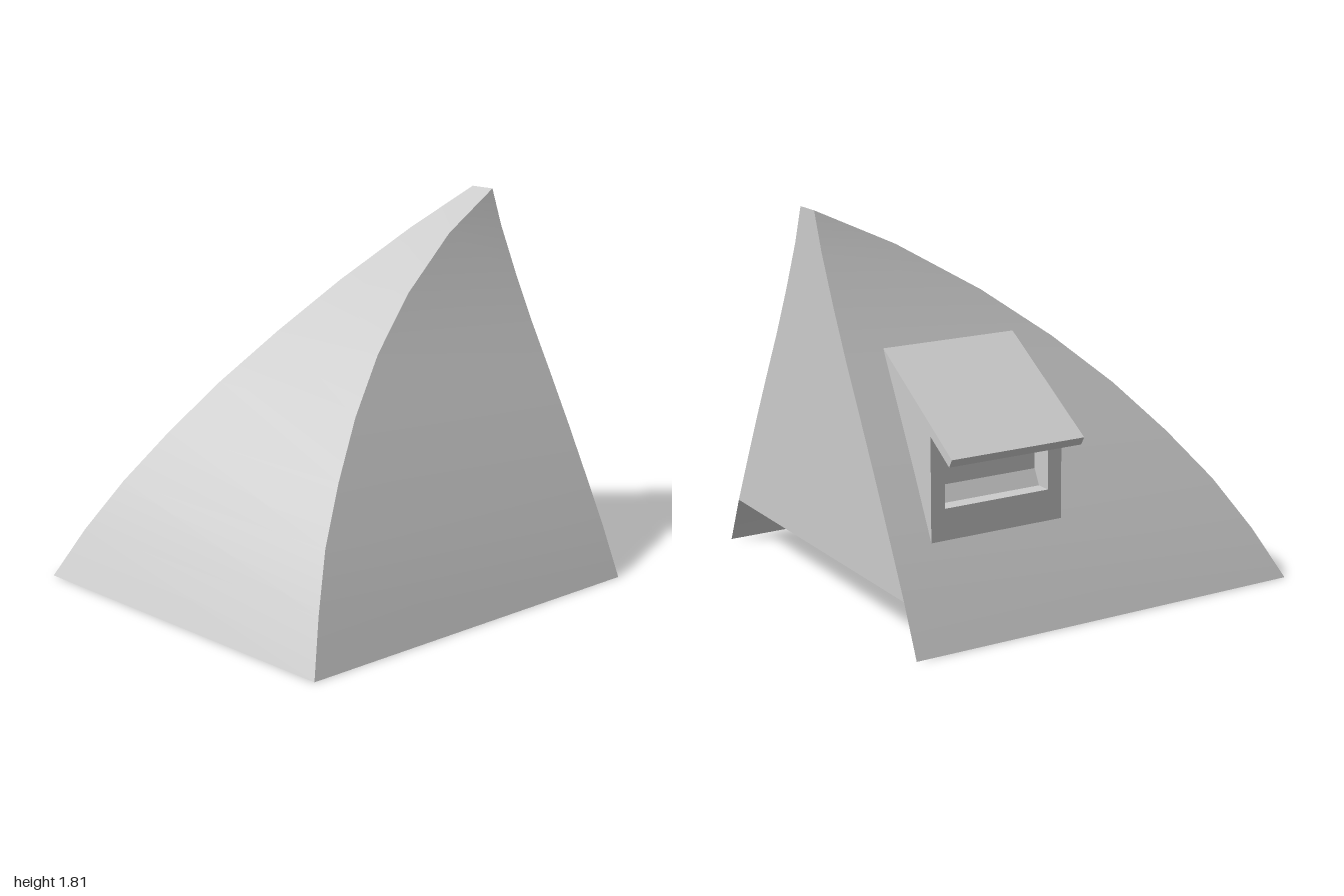
import * as THREE from 'three';

// Ribs of the curved shell: x of the sloping edge, height, half width in z
const RIBS = [
  [-1, 0, 0.945], [-0.88, 0.235, 0.84], [-0.73, 0.475, 0.72],
  [-0.54, 0.71, 0.6], [-0.32, 0.945, 0.475], [-0.06, 1.175, 0.35],
  [0.25, 1.405, 0.235], [0.63, 1.635, 0.13], [1, 1.81, 0.067],
];

const material = new THREE.MeshStandardMaterial({ color: 0xcccccc, side: THREE.DoubleSide });

// Skin between pairs of points, each pair being one row
function skin(name, rows) {
  const index = [];
  for (let i = 0; i < rows.length - 1; i++) {
    const a = i * 2;
    index.push(a, a + 1, a + 2, a + 1, a + 3, a + 2);
  }
  const geometry = new THREE.BufferGeometry();
  geometry.setAttribute('position', new THREE.Float32BufferAttribute(rows.flat(2), 3));
  geometry.setIndex(index);
  geometry.computeVertexNormals();
  const mesh = new THREE.Mesh(geometry, material);
  mesh.name = name;
  return mesh;
}

// Side profile of [distance to the back, height], extruded from x0 to x1
function slice(name, profile, x0, x1) {
  const shape = new THREE.Shape(profile.map(([u, v]) => new THREE.Vector2(u, v)));
  const geometry = new THREE.ExtrudeGeometry(shape, { depth: x1 - x0, bevelEnabled: false });
  geometry.rotateY(Math.PI / 2).translate(x0, 0, 0);
  const mesh = new THREE.Mesh(geometry, material);
  mesh.name = name;
  return mesh;
}

function createDormer() {
  const dormer = new THREE.Group();
  dormer.name = 'dormer';
  const roof = [[0.5, 0.6], [0.325, 1.22], [0.92, 0.855], [0.897, 0.817], [0.74, 0.915]];
  const recess = [[0.74, 0.795], [0.63, 0.795], [0.63, 0.58], [0.74, 0.58]];
  const foot = [[0.74, 0.43]];
  const [left, right, cheek] = [0.138, 0.807, 0.07];
  dormer.add(
    slice('dormerCheek', [...roof, ...foot], left, left + cheek),
    slice('dormerWindow', [...roof, ...recess, ...foot], left + cheek, right - cheek),
    slice('dormerCheek', [...roof, ...foot], right - cheek, right),
  );
  return dormer;
}

export function createModel() {
  const model = new THREE.Group();
  model.name = 'curvedRoof';
  const [toe, heel] = RIBS;

  model.add(
    // Long sides, swept straight along x
    skin('frontSlope', RIBS.map(([x, y, z]) => [[x, y, z], [1, y, z]])),
    skin('backSlope', RIBS.map(([x, y, z]) => [[1, y, -z], [x, y, -z]])),
    // Curved hip rising to the peak
    skin('curvedHip', RIBS.map(([x, y, z]) => [[x, y, -z], [x, y, z]])),
    // Upright gable and the floor sloping up to its foot
    skin('gableWall', RIBS.slice(1).map(([, y, z]) => [[1, y, z], [1, y, -z]])),
    skin('slopingFloor', [[-1, toe], [1, heel]].map(([x, [, y, z]]) => [[x, y, z], [x, y, -z]])),
    createDormer(),
  );
  return model;
}
